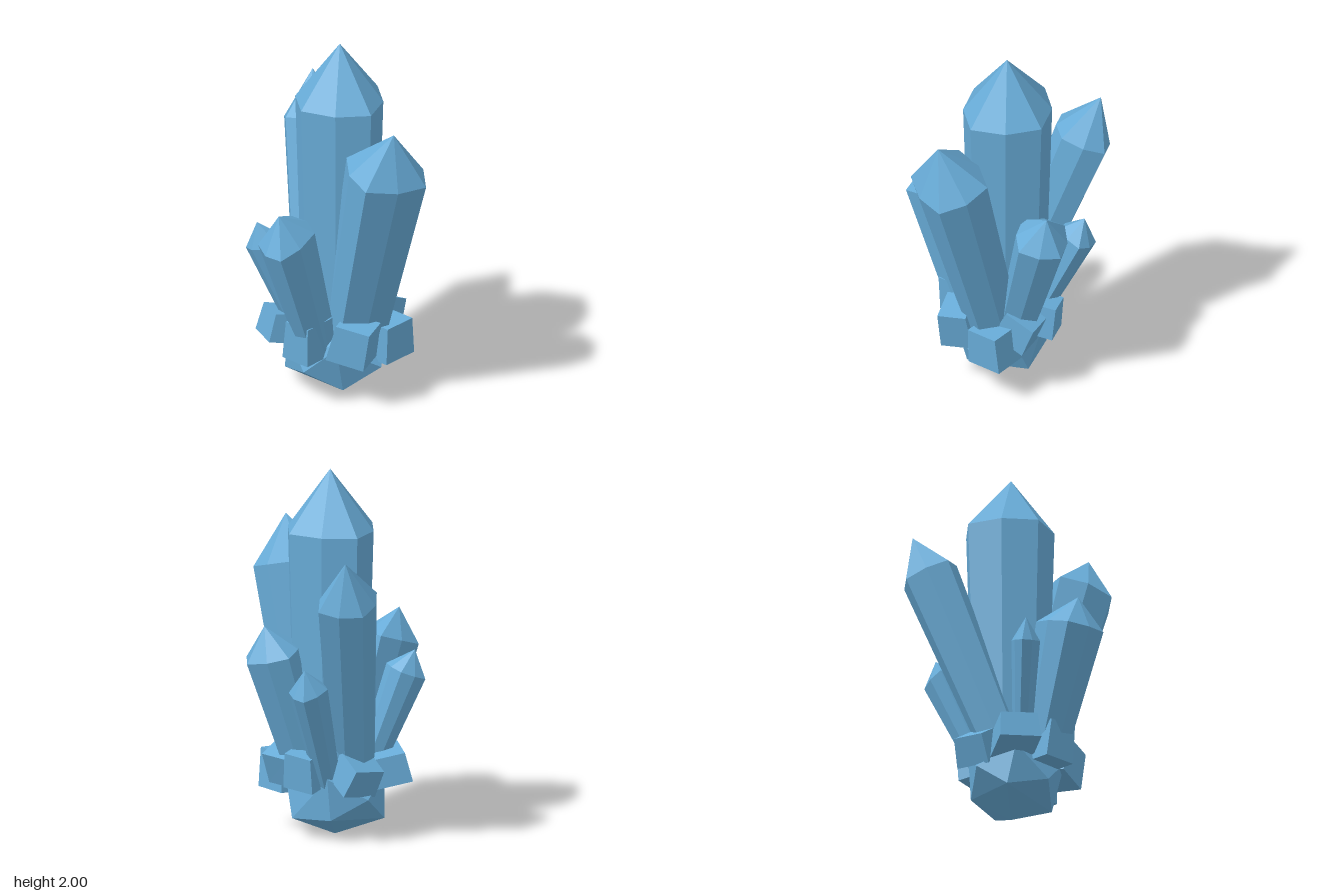
import * as THREE from 'three';
import { ConvexGeometry } from 'three/addons/geometries/ConvexGeometry.js';

const crystalBlue = new THREE.MeshStandardMaterial({ color: 0x68acd8, flatShading: true });
crystalBlue.name = 'crystal blue';

// Eight-sided tapered shaft with a pointed tip. a and b are the [x, z] arms of
// the shoulder ring; the ring is tilted square to the shaft axis.
function crystal(name, base, shoulder, apex, a, b, taper, chamfer = 0.87) {
  const foot = new THREE.Vector3(...base), top = new THREE.Vector3(...shoulder);
  const axis = top.clone().sub(foot).normalize();
  const n = 8, lower = [], upper = [];
  for (let i = 0; i < n; i++) {
    const t = i * Math.PI / 4, r = i % 2 ? chamfer : 1;
    const x = r * (a[0] * Math.cos(t) + b[0] * Math.sin(t));
    const z = r * (a[1] * Math.cos(t) + b[1] * Math.sin(t));
    const arm = new THREE.Vector3(x, -(x * axis.x + z * axis.z) / axis.y, z);
    upper.push(top.clone().add(arm));
    lower.push(foot.clone().addScaledVector(arm, taper));
  }
  const tip = new THREE.Vector3(...apex), points = [];
  for (let i = 0; i < n; i++) {
    const j = (i + 1) % n;
    points.push(lower[i], upper[i], lower[j], lower[j], upper[i], upper[j]);
    points.push(upper[i], tip, upper[j], lower[i], lower[j], foot);
  }
  const g = new THREE.BufferGeometry().setFromPoints(points);
  g.computeVertexNormals();
  return part(name, g);
}

function part(name, geometry) {
  const mesh = new THREE.Mesh(geometry, crystalBlue);
  mesh.name = name;
  return mesh;
}

// Rough block: a box slightly narrowed towards its top and skewed
function chunk(name, pos, size, rot) {
  const g = new THREE.BoxGeometry(...size);
  const p = g.attributes.position;
  for (let i = 0; i < p.count; i++) {
    const x = p.getX(i), y = p.getY(i), z = p.getZ(i);
    const s = y > 0 ? 0.92 : 1.04;
    p.setXYZ(i, x * s, y + 0.1 * x, z * s);
  }
  g.computeVertexNormals();
  const mesh = part(name, g);
  mesh.position.set(...pos);
  mesh.rotation.set(...rot);
  return mesh;
}

export function createModel() {
  const model = new THREE.Group();
  model.name = 'crystalCluster';

  // Crystals: base, shoulder centre, tip, two ring arms, taper
  model.add(
    crystal('mainCrystal', [-0.02, 0.3, -0.05], [-0.02, 1.675, -0.05], [-0.015, 2, -0.05],
      [0.275, 0], [0, 0.258], 0.83, 0.89),
    crystal('leftTallCrystal', [0.09, 0.3, -0.055], [0.402, 1.4, -0.038], [0.477, 1.65, -0.03],
      [0.19, -0.12], [0.085, 0.205], 0.74),
    crystal('rightTallCrystal', [-0.1, 0.3, 0.04], [-0.437, 1.375, -0.196], [-0.512, 1.61, -0.255],
      [0.158, 0], [-0.01, 0.175], 0.74, 0.89),
    crystal('backCrystal', [0.03, 0.3, -0.155], [0.042, 1.02, -0.375], [0.05, 1.17, -0.42],
      [0.17, 0], [-0.008, 0.153], 0.7),
    crystal('frontCrystal', [0.04, 0.3, 0.145], [0.067, 1.005, 0.375], [0.079, 1.16, 0.435],
      [0.124, 0.135], [-0.095, 0.117], 0.68),
    crystal('smallFrontCrystal', [-0.075, 0.3, 0.13], [-0.181, 0.878, 0.32], [-0.207, 0.997, 0.36],
      [0.076, -0.075], [0.051, 0.06], 0.6),
    crystal('smallBackCrystal', [-0.13, 0.3, -0.13], [-0.262, 0.87, -0.335], [-0.28, 0.99, -0.37],
      [0.068, -0.08], [0.068, 0.07], 0.65),
  );

  // Faceted boulder under the crystals
  const corners = [
    [-0.03, 0, -0.03], [0.03, 0.16, 0.23], [0.165, 0.06, 0.07], [0.28, 0.19, -0.1],
    [-0.2, 0.095, 0.175], [0.03, 0.1, -0.26], [-0.2, 0.12, -0.16], [-0.29, 0.23, 0.02],
    [0.2, 0.33, 0.14], [-0.16, 0.33, 0.2], [0.14, 0.35, -0.24], [-0.2, 0.35, -0.18], [0, 0.45, 0],
  ];
  model.add(part('boulder', new ConvexGeometry(corners.map(c => new THREE.Vector3(...c)))));

  // Ring of rough blocks around the foot: position, size, rotation
  const blocks = [
    ['frontBlock', [0.05, 0.37, 0.21], [0.18, 0.22, 0.2], [0.08, 0.12, -0.1]],
    ['frontRightBlock', [-0.17, 0.375, 0.21], [0.22, 0.16, 0.2], [-0.2, -0.35, -0.08]],
    ['leftBlock', [0.24, 0.37, 0.05], [0.21, 0.22, 0.17], [0.1, 0.5, -0.28]],
    ['backLeftBlock', [0.22, 0.325, -0.19], [0.19, 0.21, 0.2], [0.05, 0.12, -0.1]],
    ['backBlock', [0.08, 0.4, -0.25], [0.18, 0.18, 0.19], [-0.45, 0.3, 0.1]],
    ['backRightBlock', [-0.09, 0.395, -0.25], [0.17, 0.19, 0.17], [-0.15, 0.5, 0.1]],
    ['rightBlock', [-0.23, 0.375, -0.02], [0.19, 0.16, 0.22], [0.15, 0.2, 0.45]],
  ];
  for (const b of blocks) model.add(chunk(...b));

  return model;
}
